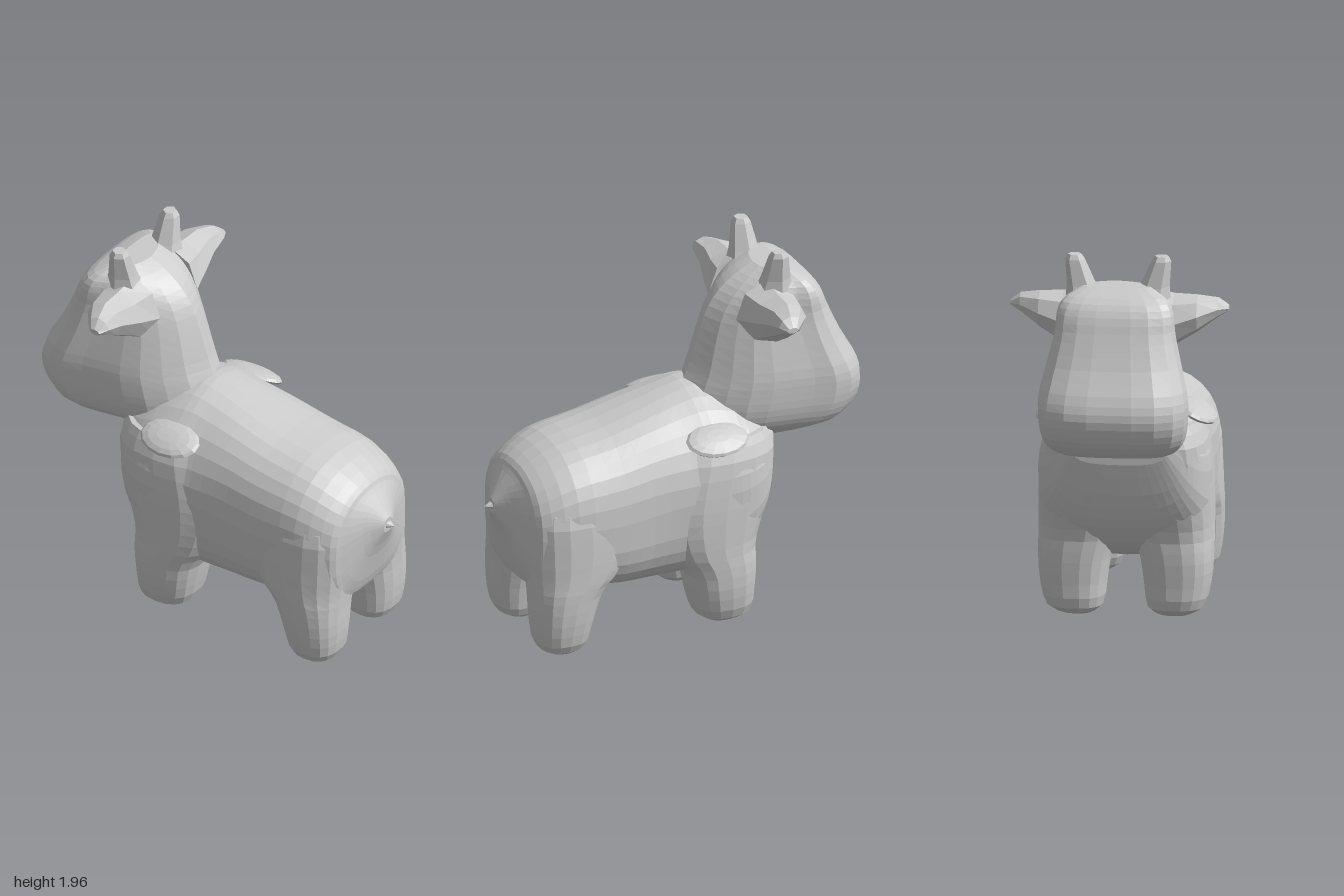
import * as THREE from 'three';

const material = new THREE.MeshStandardMaterial({ color: 0xcccccc, flatShading: true, side: THREE.DoubleSide });

// Smoothly resample a list of equal-length sections
function resample(sections, count) {
  const tracks = sections[0].map((_, k) => new THREE.SplineCurve(sections.map((s, i) => new THREE.Vector2(i, s[k]))));
  return Array.from({ length: count }, (_, i) => tracks.map(c => c.getPoint(i / (count - 1)).y));
}

// Skin a closed surface over rings of Vector3, with fan caps, facing outwards
function loft(rings) {
  const n = rings[0].length, tris = [];
  for (let i = 0; i < rings.length - 1; i++) {
    for (let j = 0; j < n; j++) {
      const k = (j + 1) % n, a = rings[i], b = rings[i + 1];
      tris.push([a[j], a[k], b[k]], [a[j], b[k], b[j]]);
    }
  }
  const centre = r => r.reduce((s, p) => s.add(p), new THREE.Vector3()).divideScalar(n);
  const first = rings[0], last = rings[rings.length - 1];
  const c0 = centre(first), c1 = centre(last);
  for (let j = 0; j < n; j++) {
    const k = (j + 1) % n;
    tris.push([c0, first[k], first[j]], [c1, last[j], last[k]]);
  }
  const cross = new THREE.Vector3();
  const volume = tris.reduce((s, [a, b, c]) => s + a.dot(cross.crossVectors(b, c)), 0);
  if (volume < 0) tris.forEach(t => t.reverse());
  const g = new THREE.BufferGeometry().setFromPoints(tris.flat());
  g.computeVertexNormals();
  return g;
}

// Superellipse outline as [u, v] pairs in -1..1, with its own power for the lower half
function outline(n, power, lowerPower = power) {
  return Array.from({ length: n }, (_, i) => {
    const a = (i / n) * Math.PI * 2, e = 2 / (Math.sin(a) < 0 ? lowerPower : power);
    const f = v => Math.sign(v) * Math.abs(v) ** e;
    return [f(Math.cos(a)), f(Math.sin(a))];
  });
}

function add(group, name, geometry) {
  const mesh = new THREE.Mesh(geometry, material);
  mesh.name = name;
  group.add(mesh);
  return mesh;
}

// Body sections along z: [z, top, bottom, half width, upper power]
function bodyGeometry() {
  const sections = [
    [0.96, 0.81, 0.73, 0.04, 2], [0.91, 0.88, 0.6, 0.13, 2.2], [0.865, 0.94, 0.42, 0.25, 2.3], [0.82, 1.0, 0.36, 0.335, 2.3],
    [0.65, 1.085, 0.34, 0.39, 2.4], [0.4, 1.13, 0.29, 0.40, 2.4], [0.2, 1.18, 0.28, 0.40, 2.3],
    [0, 1.23, 0.28, 0.415, 2], [-0.13, 1.25, 0.30, 0.435, 1.9], [-0.27, 1.21, 0.36, 0.435, 2],
    [-0.38, 1.14, 0.48, 0.4, 2.2], [-0.45, 1.1, 0.63, 0.335, 2.3], [-0.5, 1.05, 0.86, 0.24, 2.3],
  ];
  return loft(resample(sections, 34).map(([z, top, bottom, w, power]) =>
    outline(32, power, 3.2).map(([u, v]) => new THREE.Vector3(u * w, (top + bottom) / 2 + v * (top - bottom) / 2, z))));
}

// Leg sections up y: [y, inner x, outer x, back z, front z]
function legGeometry(sections, side) {
  const shape = outline(18, 2.5);
  return loft(resample(sections, 18).map(([y, x0, x1, z0, z1]) =>
    shape.map(([u, v]) => new THREE.Vector3(side * ((x0 + x1) / 2 + u * (x1 - x0) / 2), y, (z0 + z1) / 2 + v * (z1 - z0) / 2))));
}

const rearLeg = [
  [0.01, 0.17, 0.30, 0.74, 0.64], [0.06, 0.11, 0.37, 0.82, 0.57], [0.2, 0.09, 0.40, 0.845, 0.53],
  [0.35, 0.06, 0.41, 0.85, 0.47], [0.45, 0.02, 0.41, 0.855, 0.36], [0.6, 0, 0.405, 0.865, 0.3],
  [0.78, 0, 0.39, 0.86, 0.32], [0.92, 0, 0.32, 0.8, 0.36],
];
const frontLeg = [
  [0.02, 0.17, 0.32, -0.13, -0.26], [0.07, 0.11, 0.40, -0.05, -0.34], [0.2, 0.09, 0.435, -0.01, -0.355],
  [0.33, 0.07, 0.445, 0.02, -0.365], [0.45, 0.03, 0.445, 0.1, -0.37], [0.6, 0, 0.445, 0.15, -0.42], [0.75, 0, 0.44, 0.15, -0.46],
  [0.93, 0, 0.42, 0.1, -0.49], [1.04, 0, 0.37, 0.05, -0.46],
];

// Head and neck sections up y: [y, muzzle z, nape z, half width]
function headGeometry() {
  const sections = [
    [0.94, -0.58, -0.25, 0.2], [0.98, -0.82, -0.15, 0.28], [1.03, -0.915, -0.1, 0.34],
    [1.11, -0.975, -0.08, 0.37], [1.21, -1, -0.1, 0.38], [1.31, -0.975, -0.14, 0.375],
    [1.45, -0.9, -0.185, 0.34], [1.6, -0.835, -0.24, 0.305], [1.7, -0.795, -0.31, 0.295],
    [1.77, -0.74, -0.4, 0.26], [1.82, -0.64, -0.5, 0.17],
  ];
  // Half outline from muzzle to nape: wide muzzle narrowing to a blunt wedge
  const half = [[0, 0.3], [0.015, 0.6], [0.06, 0.84], [0.14, 0.97], [0.24, 1], [0.36, 0.93], [0.48, 0.88],
    [0.6, 0.83], [0.72, 0.74], [0.83, 0.57], [0.93, 0.34]];
  const shape = [[0, 0], ...half, [1, 0], ...half.map(([t, w]) => [t, -w]).reverse()];
  return loft(resample(sections, 26).map(([y, z0, z1, w]) =>
    shape.map(([t, u]) => new THREE.Vector3(u * w, y, z0 + t * (z1 - z0)))));
}

// Ear sections along x: [x, y, z, half height, half depth]
function earGeometry(side) {
  const sections = [[0.16, 1.6, -0.5, 0.19, 0.17], [0.28, 1.63, -0.5, 0.135, 0.14],
    [0.4, 1.665, -0.5, 0.095, 0.105], [0.5, 1.69, -0.47, 0.05, 0.065], [0.55, 1.685, -0.46, 0.015, 0.03]];
  return loft(sections.map(([x, y, z, h, d]) =>
    outline(8, 2).map(([u, v]) => new THREE.Vector3(side * x, y + v * h, z + u * d))));
}

// Horn sections up y: [y, x, radius]
function hornGeometry(side) {
  const sections = [[1.7, 0.16, 0.11], [1.81, 0.185, 0.075], [1.94, 0.218, 0.05], [1.965, 0.22, 0.035]];
  return loft(sections.map(([y, x, r]) =>
    outline(6, 2).map(([u, v]) => new THREE.Vector3(side * (x + u * r), y, -0.54 + v * r))));
}

export function createModel() {
  const model = new THREE.Group();
  model.name = 'calf';
  add(model, 'body', bodyGeometry());
  add(model, 'head', headGeometry());

  for (const [side, label] of [[1, 'left'], [-1, 'right']]) {
    add(model, label + 'RearLeg', legGeometry(rearLeg, side));
    add(model, label + 'FrontLeg', legGeometry(frontLeg, side));
    add(model, label + 'Ear', earGeometry(side));
    add(model, label + 'Horn', hornGeometry(side));
    // Skin fold sloping out over the shoulder
    const fold = add(model, label + 'ShoulderFold', new THREE.SphereGeometry(1, 14, 8));
    fold.scale.set(0.11, 0.035, 0.17);
    fold.rotation.z = -side * 0.45;
    fold.position.set(side * 0.36, 1.06, -0.13);
  }

  // Stubby tail, pointing back
  const tail = add(model, 'tail', new THREE.ConeGeometry(0.09, 0.14, 8));
  tail.scale.z = 0.7;
  tail.rotation.x = Math.PI / 2;
  tail.position.set(0, 0.77, 0.93);

  // Udder under the belly
  const udder = add(model, 'udder', new THREE.SphereGeometry(1, 10, 6));
  udder.scale.set(0.13, 0.08, 0.26);
  udder.position.set(0, 0.325, 0.27);
  return model;
}
